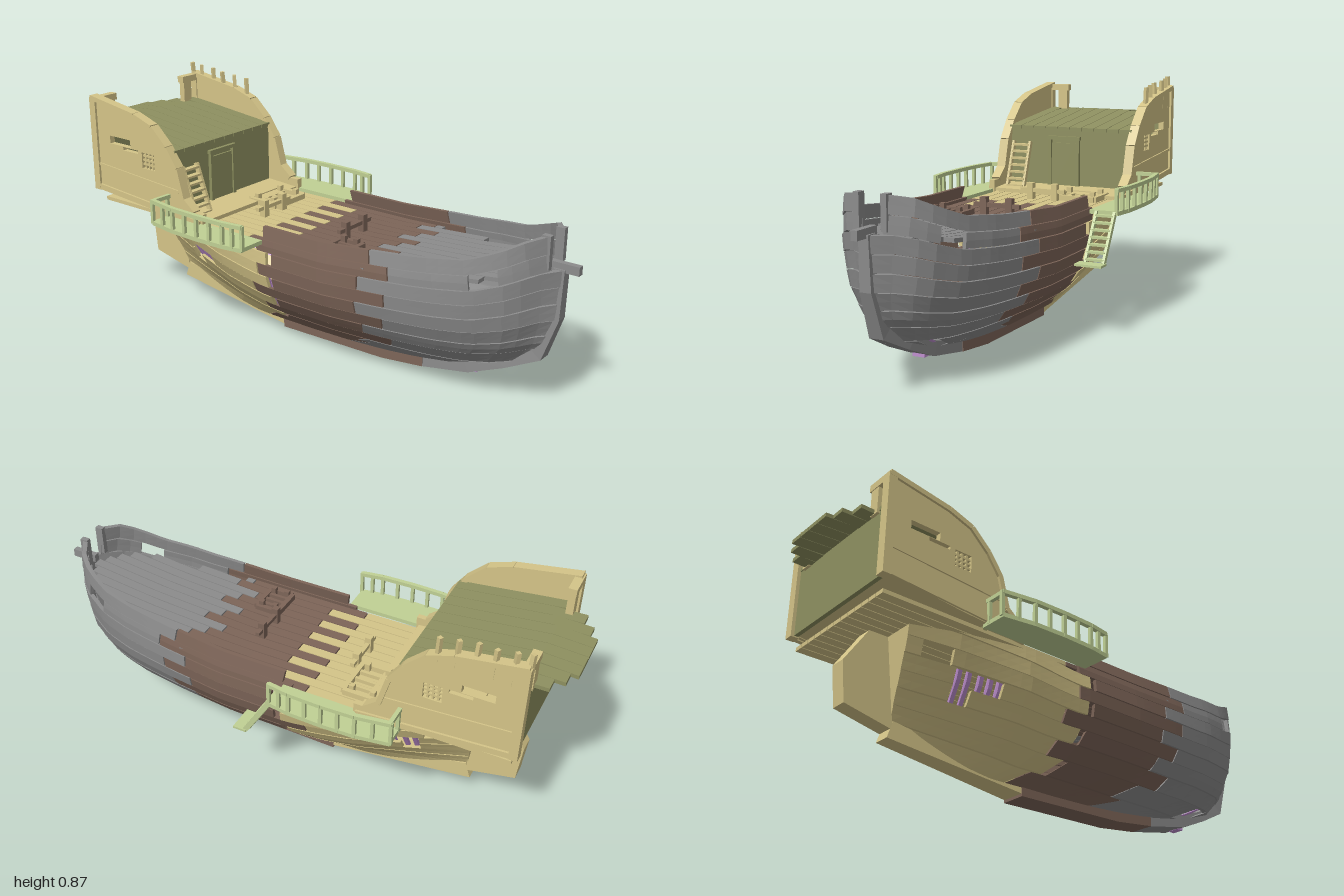
import * as THREE from 'three';

const mat = (color) => new THREE.MeshStandardMaterial({ color, flatShading: true, side: THREE.DoubleSide });
const GREY = mat(0x8c8c8c), BROWN = mat(0x7d6558), TAN = mat(0xd4c488);
const OLIVE = mat(0x8e9060), GREEN = mat(0xc0d094), PURPLE = mat(0xc090d0);

// Piecewise linear lookup in a flat list x0,y0,x1,y1...
function lin(t, x) {
  if (x <= t[0]) return t[1];
  for (let i = 2; i < t.length; i += 2)
    if (x <= t[i]) return t[i - 1] + (t[i + 1] - t[i - 1]) * (x - t[i - 2]) / (t[i] - t[i - 2]);
  return t[t.length - 1];
}

// Closed solid through a series of cross-section rings, always wound outward
function loft(rings) {
  const n = rings[0].length, tris = [], last = rings[rings.length - 1];
  for (let r = 0; r + 1 < rings.length; r++)
    for (let i = 0; i < n; i++) {
      const j = (i + 1) % n, a = rings[r][i], b = rings[r][j], c = rings[r + 1][j], d = rings[r + 1][i];
      tris.push([a, b, c], [a, c, d]);
    }
  for (let i = 1; i + 1 < n; i++) {
    tris.push([rings[0][0], rings[0][i + 1], rings[0][i]], [last[0], last[i], last[i + 1]]);
  }
  const o = rings[0][0], v = (p) => new THREE.Vector3(p[0] - o[0], p[1] - o[1], p[2] - o[2]);
  const volume = tris.reduce((s, [a, b, c]) => s + v(a).dot(v(b).cross(v(c))), 0);
  if (volume < 0) tris.forEach((t) => t.reverse());
  const g = new THREE.BufferGeometry();
  g.setAttribute('position', new THREE.Float32BufferAttribute(tris.flat(2), 3));
  g.computeVertexNormals();
  return g;
}

// Hull surface: s runs stern to bow, t runs keel to rail
const STEM = [0, .5, .1, .72, .2, .85, .35, .915, .5, .94, .8, .945, 1, .93];
const LOW = [0, .08, .33, .03, .7, .03, 1, .04];
const HIGH = [0, .58, .2, .53, .37, .485, .55, .485, .75, .51, .87, .535, .93, .575, .97, .61, 1, .615];
const PROFILE = [0, .045, .1, .095, .2, .155, .3, .2, .4, .232, .5, .255, .6, .267, .7, .271, .85, .267, 1, .253];
const BOW = [.55, 1, .68, .95, .8, .88, .87, .79, .93, .64, .96, .48, .985, .22, 1, .09];
function hull(s, t) {
  const zs = -.66 - .06 * t, low = lin(LOW, s);
  const stern = lin([0, .15 + .6 * t, .1, .42 + .5 * t, .25, .82 + .18 * t, .4, 1], s);
  const w = lin(PROFILE, t) * Math.pow(lin(BOW, s), 1 + .7 * (1 - t)) * stern;
  return [w, low + (lin(HIGH, s) - low) * t, zs + (lin(STEM, t) - zs) * s];
}
function plank(side, s0, s1, t0, t1, out = 0, thick = .014) {
  const n = Math.max(1, Math.ceil((s1 - s0) / .025)), rings = [];
  for (let i = 0; i <= n; i++) {
    const s = s0 + (s1 - s0) * i / n, ts = [t0, (t0 + t1) / 2, t1];
    const at = (t, d) => {
      const [x, y, z] = hull(s, t);
      return [side * Math.max(.004, x + d), y, z + d * Math.pow(s, 8)];
    };
    rings.push([...ts.map((t) => at(t, out)), ...ts.reverse().map((t) => at(t, out - thick))]);
  }
  return loft(rings);
}

export function createModel() {
  const root = new THREE.Group();
  const add = (name, geo, m) => {
    const mesh = new THREE.Mesh(geo, m);
    mesh.name = name;
    root.add(mesh);
    return mesh;
  };
  const box = (name, m, w, h, d, x, y, z) =>
    add(name, new THREE.BoxGeometry(w, h, d), m).position.set(x, y, z);
  const beam = (name, m, a, b, w, h = w) => {
    const A = new THREE.Vector3(...a), B = new THREE.Vector3(...b);
    const mesh = add(name, new THREE.BoxGeometry(w, h, A.distanceTo(B)), m);
    mesh.position.copy(A).add(B).multiplyScalar(.5);
    mesh.lookAt(B);
  };

  // Hull planking: ten strakes a side, staggered joints, broken openings
  const holes = { 1: [.9, .95], 3: [.1, .14], 4: [.1, .2], 5: [.03, .09], 8: [.87, .92] };
  for (const side of [-1, 1]) {
    for (let r = 0; r < 10; r++) {
      const a = .373 + [0, .03, -.02, .02, -.03, .025, 0, .03, 0, .01][r];
      const b = .687 + [0, -.04, .02, -.05, 0, -.06, .01, -.05, .02, -.02][r];
      const gap = r % 2 ? .016 : .004, end = r > 7 ? .985 : 1;
      const runs = [[a + gap, b - .003, BROWN], [b, end, GREY]];
      if (r < 8) runs.push([0, a, TAN]);
      for (const [s0, s1, m] of runs) {
        const h = holes[r], cut = h && h[0] > s0 && h[1] < s1;
        for (const [p, q] of cut ? [[s0, h[0]], [h[1], s1]] : [[s0, s1]])
          add('hullPlank', plank(side, p, q, r / 10 + .002, r / 10 + .096, r % 2 ? .002 : 0), m);
      }
    }
    // Inner ribs seen through the openings
    for (const s of [.11, .13, .155, .175, .195, .385, .92])
      add('rib', plank(side, s, s + .008, s > .9 ? .1 : .28, s > .9 ? .22 : .62, -.014, .012), PURPLE);
  }
  // Flat stern closing the hull
  const sternRings = [0, .2, .4, .6, .8].map((t) => {
    const [x, y, z] = hull(0, t);
    return [[-x, y, z], [x, y, z], [x, y, z + .02], [-x, y, z + .02]];
  });
  add('sternBoard', loft(sternRings), TAN);

  // Keel and stem: [outer z, outer y, inner z, inner y, half width]
  const spine = (name, m, rows) => add(name, loft(rows.map(([z, y, zi, yi, w]) =>
    [[-w, y, z], [w, y, z], [w, yi, zi], [-w, yi, zi]])), m);
  spine('sternKeel', TAN, [[-.68, .07, -.66, .13, .03], [-.15, .01, -.15, .05, .045]]);
  spine('keel', BROWN, [[-.15, 0, -.15, .05, .047], [.3, .01, .3, .05, .047], [.47, .03, .47, .07, .047]]);
  spine('stem', GREY, [[.47, .03, .47, .07, .045], [.65, .065, .63, .11, .046], [.78, .12, .75, .15, .038],
    [.9, .18, .86, .21, .025], [.95, .33, .91, .34, .02], [.955, .5, .915, .5, .017]]);
  box('stemPatch', PURPLE, .045, .02, .03, 0, .072, .655);
  box('prowStub', GREY, .022, .03, .1, 0, .505, .95);
  for (const x of [-.047, .047]) box('bowPost', GREY, .02, .11, .03, x, .56, .905);

  // Rudder
  const extrudeX = (pts, depth, x, cuts = []) => {
    const poly = (c, p) => new c(p.map(([z, y]) => new THREE.Vector2(z, y)));
    const shape = poly(THREE.Shape, pts);
    cuts.forEach((c) => shape.holes.push(poly(THREE.Path, c)));
    return new THREE.ExtrudeGeometry(shape, { depth, bevelEnabled: false }).rotateY(-Math.PI / 2).translate(x + depth / 2, 0, 0);
  };
  add('rudder', extrudeX([[-.66, .1], [-.84, .14], [-.855, .28], [-.79, .38], [-.74, .46], [-.7, .42]], .06, 0), TAN);

  // Main deck planks, three tones with uneven ends
  const deckY = (z) => lin([-.5, .425, .2, .425, .6, .45, .92, .49], z);
  const strip = (x, w, z0, z1, yAt) => {
    const rings = [];
    for (let k = 0; k <= 4; k++) {
      const z = z0 + (z1 - z0) * k / 4, y = yAt(z);
      rings.push([[x - w, y, z], [x + w, y, z], [x + w, y - .014, z], [x - w, y - .014, z]]);
    }
    return loft(rings);
  };
  for (let i = -6; i <= 6; i++) {
    const x = i * .0395, bow = lin([0, .9, .06, .87, .14, .8, .18, .68, .2, .54, .22, .4, .24, .36], Math.abs(x));
    const a = -.08 + ((i + 6) % 2 ? .07 : -.06), b = Math.min(.33 + ((i + 7) % 3 - 1) * .05, bow - .03);
    add('deckPlank', strip(x, .018, -.87, a, deckY), TAN);
    add('deckPlank', strip(x, .018, a + .004, b, deckY), BROWN);
    add('deckPlank', strip(x, .018, b + .004, bow, deckY), GREY);
  }

  // Hatches and bitts
  const hatch = (m, x, z, w, d) => {
    for (const k of [-1, 1]) {
      box('hatchFrame', m, w, .02, .018, x, .435, z + k * d / 2);
      box('hatchFrame', m, .018, .02, d, x + k * w / 2, .435, z);
    }
    for (let k = -1; k <= 1; k++) box('hatchBar', m, .012, .014, d, x + k * w / 4, .433, z);
    for (const k of [-1, 1]) for (const j of [-1, 1]) box('hatchPost', m, .018, .03, .018, x + k * w * .4, .445, z + j * d * .3);
  };
  hatch(TAN, .12, -.32, .16, .13);
  hatch(BROWN, -.15, .2, .12, .09);
  for (const [m, z] of [[TAN, -.235], [BROWN, .14]]) {
    box('bittRail', m, .18, .014, .016, 0, .46, z);
    for (const x of [-.05, .05]) box('bittPost', m, .024, .065, .024, x, .455, z);
  }

  // Stern castle sides with openings
  const rail = [[-.37, .47], [-.42, .51], [-.45, .62], [-.5, .69], [-.57, .755], [-.66, .785], [-.89, .82]];
  const win = (z0, z1, y0, y1) => [[z0, y0], [z1, y0], [z1, y1], [z0, y1]];
  for (const side of [-1, 1]) {
    const cuts = [win(-.8, -.69, .655, .685), win(-.73, -.65, .68 - .04, .655 - .002), win(-.63, -.565, .59, .65)];
    const outline = [[-.33, .42], [-.6, .44], [-.89, .47], ...rail.slice().reverse(), [-.33, .47]];
    add('castleSide', extrudeX(outline, .022, side * .268, cuts), TAN);
    for (let k = 0; k + 1 < rail.length; k++)
      beam('castleRail', TAN, [side * .27, rail[k][1], rail[k][0]], [side * .27, rail[k + 1][1], rail[k + 1][0]], .036, .018);
    for (let k = 0; k < 3; k++) {
      box('windowBar', TAN, .012, .06, .007, side * .268, .62, -.58 - k * .018);
      box('windowBar', TAN, .012, .007, .065, side * .268, .605 + k * .016, -.597);
    }
    beam('castleWale', TAN, [side * .278, .435, -.34], [side * .278, .475, -.89], .018, .022);
    beam('castleWale', TAN, [side * .276, .535, -.44], [side * .276, .565, -.89], .016, .01);
    box('sternPost', TAN, .035, .36, .03, side * .27, .64, -.88);
    box('sternLedge', TAN, .105, .025, .03, side * .23, .808, -.88);
    box('sternBracket', TAN, .04, .1, .025, side * .205, .75, -.88);
  }
  [-.6, -.66, -.72, -.78, -.84, -.885].forEach((z, k) =>
    beam('railPost', TAN, [.27, .74, z], [.272 - (k % 3) * .006, .835 + k * .006, z - .004], .014));

  // Castle walls, floor, door and sloping poop deck
  box('cabinFront', OLIVE, .51, .25, .015, 0, .545, -.485);
  box('transom', OLIVE, .53, .25, .015, 0, .59, -.875);
  add('castleFloor', loft([[-.34, .425], [-.6, .44], [-.88, .472]].map(([z, y]) =>
    [[-.265, y, z], [.265, y, z], [.265, y + .014, z], [-.265, y + .014, z]])), TAN);
  box('door', OLIVE, .105, .19, .01, -.02, .52, -.475);
  for (const x of [-.08, .04]) box('doorPost', OLIVE, .014, .205, .018, x, .528, -.473);
  box('doorLintel', OLIVE, .14, .014, .02, -.02, .635, -.473);
  const poopY = (z) => lin([-1, .712, -.88, .722, -.48, .678], z);
  for (let i = 0; i < 10; i++) {
    const x = (i - 4.5) * .0525;
    add('poopPlank', strip(x, .0252, lin([.08, -1, .14, -.97, .19, -.935, .25, -.87], Math.abs(x)), -.475, poopY), OLIVE);
  }

  // Ladders
  const ladder = (m, x, w, a, b, n) => {
    for (const k of [-1, 1]) beam('ladderSide', m, [x + k * w, a[1], a[0]], [x + k * w, b[1], b[0]], .01, .018);
    for (let i = 0; i < n; i++) {
      const f = (i + .5) / n;
      box('ladderStep', m, w * 2, .008, .022, x, a[1] + (b[1] - a[1]) * f, a[0] + (b[0] - a[0]) * f);
    }
  };
  ladder(TAN, -.2, .036, [-.4, .43], [-.465, .615], 7);
  ladder(GREEN, .327, .034, [.04, .265], [-.06, .43], 7);
  box('ladderFoot', GREEN, .1, .008, .05, .32, .264, .06);

  // Side galleries with railings
  const edge = [[.373, -.06], [.385, -.14], [.388, -.26], [.384, -.38], [.365, -.5]];
  for (const side of [-1, 1]) {
    add('galleryFloor', loft(edge.map(([x, z]) =>
      [[side * .265, .42, z], [side * x, .42, z], [side * x, .435, z], [side * .265, .435, z]])), GREEN);
    edge.forEach(([x, z], k) => {
      box('galleryPost', GREEN, .012, .09, .012, side * (x - .006), .47, z);
      if (!k) return;
      const [px, pz] = edge[k - 1];
      beam('galleryRail', GREEN, [side * (px - .006), .51, pz], [side * (x - .006), .51, z], .016, .014);
      box('galleryPost', GREEN, .012, .09, .012, side * ((x + px) / 2 - .006), .47, (z + pz) / 2);
    });
    box('galleryEndRail', GREEN, .095, .014, .014, side * .32, .51, -.495);
    box('galleryEndPost', GREEN, .012, .09, .012, side * .29, .47, -.495);
  }
  return root;
}
